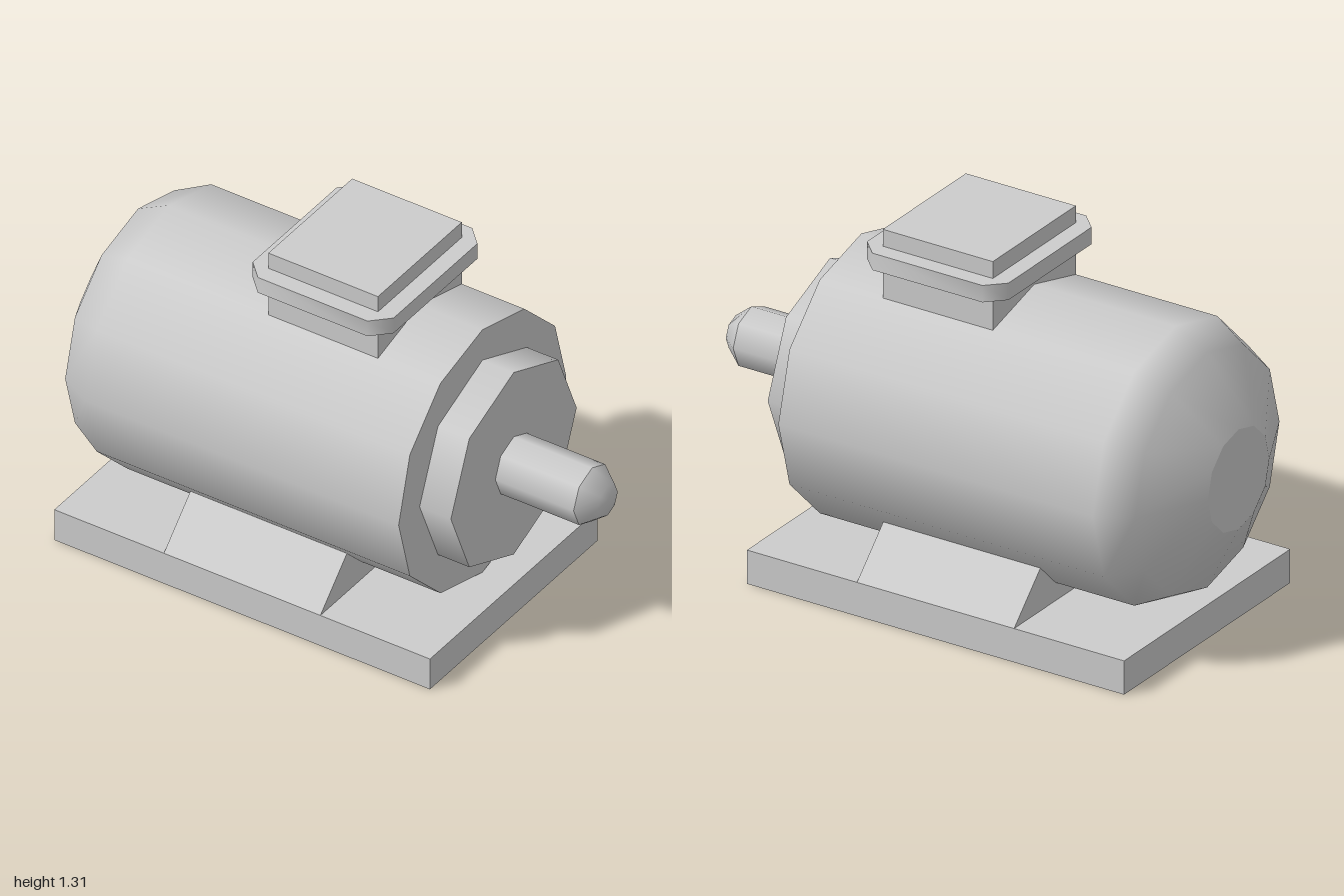
import * as THREE from 'three';
import { toCreasedNormals } from 'three/addons/utils/BufferGeometryUtils.js';

const AXIS_Y = 0.625;
const grey = new THREE.MeshStandardMaterial({ color: 0xcccccc });

function addMesh(parent, name, geometry) {
  const mesh = new THREE.Mesh(geometry, grey);
  mesh.name = name;
  parent.add(mesh);
  return mesh;
}

// Box given by its minimum and maximum corners
function addBox(parent, name, [x0, y0, z0], [x1, y1, z1]) {
  const box = addMesh(parent, name, new THREE.BoxGeometry(x1 - x0, y1 - y0, z1 - z0));
  box.position.set((x0 + x1) / 2, (y0 + y1) / 2, (z0 + z1) / 2);
}

// Part turned about the motor axis; each profile of [radius, x] is smooth,
// with a sharp edge between one profile and the next
function addTurned(parent, name, sides, profiles) {
  const group = new THREE.Group();
  group.name = name;
  group.position.y = AXIS_Y;
  for (const profile of profiles) {
    const points = profile.map(([r, x]) => new THREE.Vector2(r, x));
    addMesh(group, name + 'Surface', new THREE.LatheGeometry(points, sides).rotateZ(-Math.PI / 2));
  }
  parent.add(group);
}

export function createModel() {
  const motor = new THREE.Group();
  motor.name = 'electricMotor';

  // Base plate
  addBox(motor, 'basePlate', [-0.875, 0, -0.5], [0.625, 0.125, 0.5]);

  // Sloping feet that carry the housing, one wedge through both sides
  const wedge = new THREE.Shape([[-0.5, 0.125], [0.5, 0.125], [0.3, 0.325], [-0.3, 0.325]]
    .map(([z, y]) => new THREE.Vector2(z, y)));
  const feet = new THREE.ExtrudeGeometry(wedge, { depth: 0.625, bevelEnabled: false });
  feet.rotateY(Math.PI / 2);
  addMesh(motor, 'feet', feet).position.x = -0.4375;

  // Housing with its rounded rear cover
  addTurned(motor, 'housing', 12, [
    [[0, -1], [0.185, -1]],
    [[0.185, -1], [0.435, -0.875], [0.5, -0.75], [0.5, 0.5]],
    [[0.5, 0.5], [0, 0.5]],
  ]);

  // Front flange
  addTurned(motor, 'frontFlange', 8, [
    [[0.375, 0.5], [0.375, 0.625]],
    [[0.375, 0.625], [0, 0.625]],
  ]);

  // Drive shaft with a chamfered tip
  addTurned(motor, 'shaft', 8, [
    [[0.11, 0.625], [0.11, 0.9375]],
    [[0.11, 0.9375], [0.06, 1], [0, 1]],
  ]);

  // Terminal box
  addBox(motor, 'terminalBox', [-0.1875, 1.058, -0.25], [0.25, 1.3125, 0.25]);

  // Rim around the terminal box, with chamfered corners
  const w = 0.28125, d = 0.3125, c = 0.0625;
  const outline = new THREE.Shape([
    [w - c, -d], [w, c - d], [w, d - c], [w - c, d],
    [c - w, d], [-w, d - c], [-w, c - d], [c - w, -d],
  ].map(([x, z]) => new THREE.Vector2(x, z)));
  const rim = new THREE.ExtrudeGeometry(outline, { depth: 0.0625, bevelEnabled: false });
  rim.rotateX(-Math.PI / 2);
  addMesh(motor, 'terminalBoxRim', toCreasedNormals(rim, 0.9)).position.set(0.03125, 1.1875, 0);

  return motor;
}
